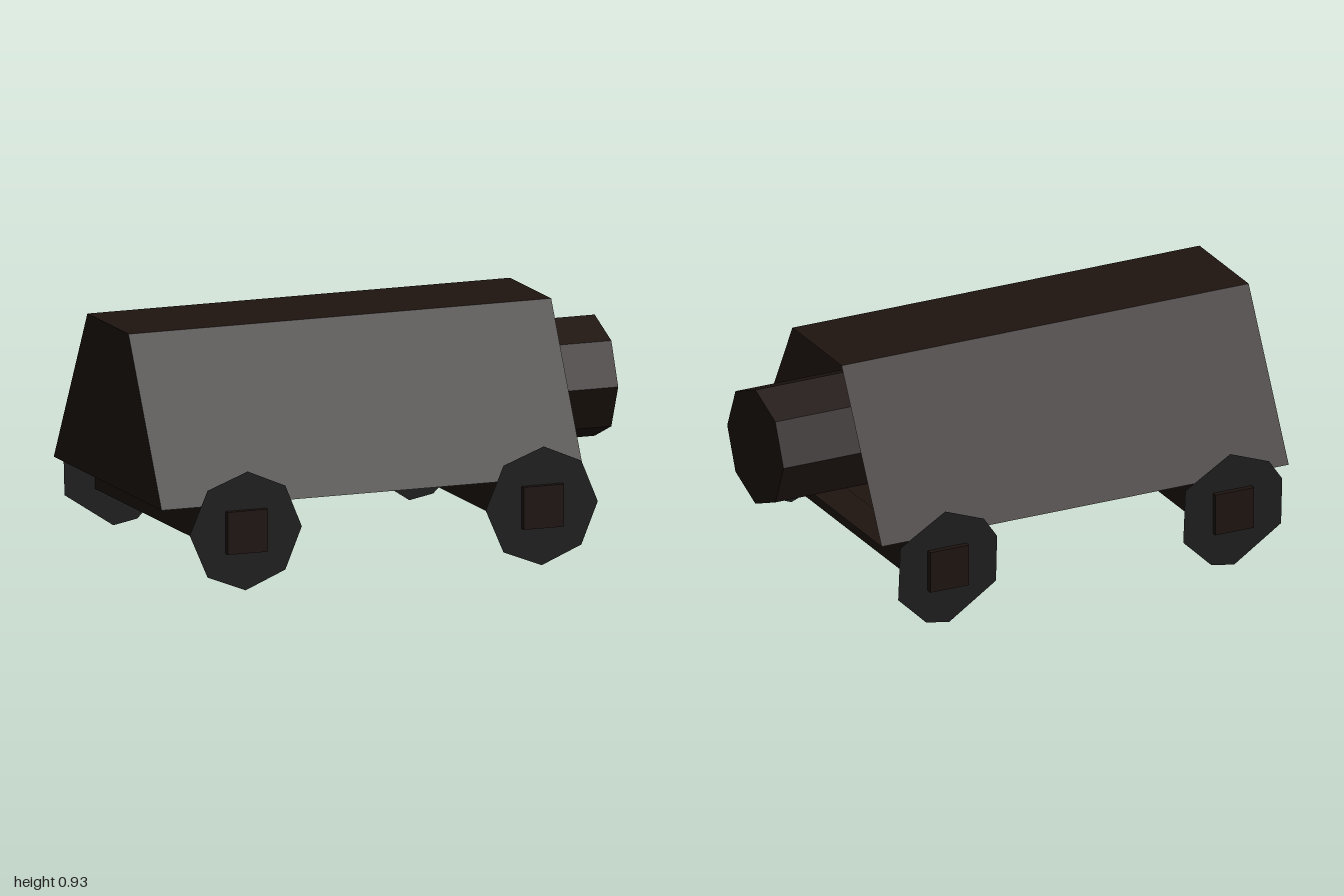
import * as THREE from 'three';

const brown = new THREE.MeshStandardMaterial({ color: 0x1e1410, flatShading: true, side: THREE.DoubleSide });
const wheelGrey = new THREE.MeshStandardMaterial({ color: 0x1e1e1e, flatShading: true, side: THREE.DoubleSide });

function add(parent, name, geometry, material) {
  const mesh = new THREE.Mesh(geometry, material);
  mesh.name = name;
  parent.add(mesh);
  return mesh;
}

// Flat eight-cornered disc, with corners at the given angles in degrees
function discGeometry(angles, radius) {
  return new THREE.ShapeGeometry(new THREE.Shape(angles.map((a) => {
    const t = THREE.MathUtils.degToRad(a);
    return new THREE.Vector2(radius * Math.cos(t), radius * Math.sin(t));
  })));
}

// Trapezoid hull: four long panels and a rear wall, open at the +x end
function hullGeometry() {
  const section = [[0.31, 0.54], [0.31, -0.535], [0.93, -0.2], [0.93, 0.21]]; // y, z
  const positions = [];
  for (const x of [-1, 0.735]) for (const [y, z] of section) positions.push(x, y, z);
  const index = [0, 2, 1, 0, 3, 2]; // rear wall
  for (let i = 0; i < 4; i++) {
    const j = (i + 1) % 4;
    index.push(i, j, j + 4, i, j + 4, i + 4);
  }
  const g = new THREE.BufferGeometry();
  g.setAttribute('position', new THREE.Float32BufferAttribute(positions, 3));
  g.setIndex(index);
  const flat = g.toNonIndexed();
  flat.computeVertexNormals();
  return flat;
}

export function createModel() {
  const model = new THREE.Group();
  model.name = 'wagon';

  add(model, 'body', hullGeometry(), brown);

  // Octagonal drum that starts inside the body and sticks out of the open end
  const drumStart = 0.2;
  const drum = add(model, 'drum', new THREE.CylinderGeometry(0.235, 0.235, 1 - drumStart, 8), brown);
  drum.rotation.z = -Math.PI / 2;
  drum.position.set((1 + drumStart) / 2, 0.57, 0);

  // Square axles, each with a thin disc wheel near either end
  const frontAngles = [0, 45, 88, 133, 180, 227, 270, 315];
  const backAngles = [30, 88, 133, 158, 205, 268, 293, 335];
  for (const [label, x] of [['rear', -0.7], ['front', 0.515]]) {
    const axleGroup = new THREE.Group();
    axleGroup.name = label + 'Axle';
    axleGroup.position.set(x, 0.228, 0);
    model.add(axleGroup);
    add(axleGroup, 'axleBeam', new THREE.BoxGeometry(0.165, 0.165, 1.345), brown);
    add(axleGroup, 'leftWheel', discGeometry(frontAngles, 0.23), wheelGrey).position.z = 0.65;
    add(axleGroup, 'rightWheel', discGeometry(backAngles, 0.23), wheelGrey).position.z = -0.65;
  }
  return model;
}
